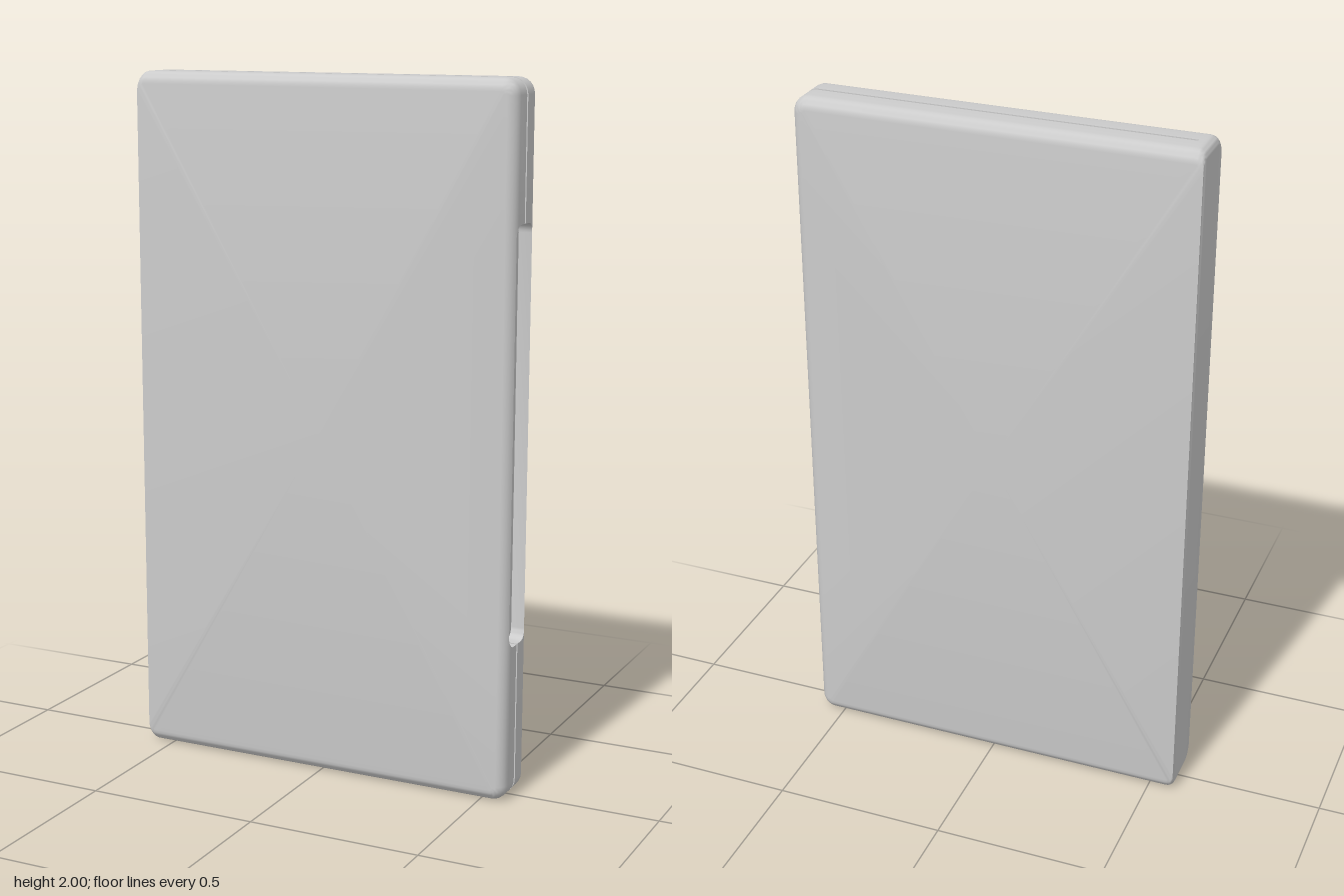
import * as THREE from 'three';
import { toCreasedNormals } from 'three/addons/utils/BufferGeometryUtils.js';

const HALF_W = 0.575, H = 2, HALF_D = 0.082;
const BEVEL = 0.035, CORNER = 0.045, SPINE_R = 0.025;
const SEAM = { half: 0.004, depth: 0.025 };
const GRIP = { y0: 0.445, y1: 1.615, half: 0.057, r: 0.03, depth: 0.04 };
const ARC = 6;

// How far the rounded edge pulls in at depth z
function bevelInset(z) {
  const t = Math.max(0, z - (HALF_D - BEVEL));
  return BEVEL - Math.sqrt(Math.max(0, BEVEL * BEVEL - t * t));
}

// Section from back to front as [z, inset]: a channel in the middle, then rounded edges
function section(half, depth) {
  const side = [[half, depth]];
  for (let i = 0; i <= ARC; i++) {
    const arcZ = HALF_D - BEVEL + BEVEL * Math.sin((i / ARC) * Math.PI / 2);
    const z = i === 0 ? half : Math.max(half, arcZ);
    side.push([z, bevelInset(z)]);
    if (i === 0) side.push([Math.max(half, arcZ), bevelInset(Math.max(half, arcZ))]);
  }
  return [...side.map(([z, d]) => [-z, d]).reverse(), ...side];
}

// Stations around the outline, counter-clockwise from the lower spine corner
function outline() {
  const stations = [];
  const add = (at, half = SEAM.half, depth = SEAM.depth) =>
    stations.push({ at, profile: section(half, depth) });

  const spineCorner = (a, top) => add((d) => {
    const y = d + SPINE_R * (1 - Math.sin(a));
    return [-HALF_W + SPINE_R * (1 - Math.cos(a)), top ? H - y : y];
  }, SEAM.half, 0);
  const seamEnd = (top, depth) =>
    add((d) => [-HALF_W + 0.04, top ? H - d : d], SEAM.half, depth);
  const outerCorner = (a, cy) => add((d) => [
    HALF_W - CORNER + (CORNER - d) * Math.cos(a),
    cy + (CORNER - d) * Math.sin(a),
  ]);
  const edge = (y, half, depth) => add((d) => [HALF_W - d, y], half, depth);

  for (let i = 0; i <= ARC; i++) spineCorner((i / ARC) * Math.PI / 2, false);
  seamEnd(false, 0);
  seamEnd(false, SEAM.depth);
  for (let i = 0; i <= ARC; i++) outerCorner(-Math.PI / 2 + (i / ARC) * Math.PI / 2, CORNER);

  // Finger recess with rounded ends
  edge(GRIP.y0);
  for (const [y, dir] of [[GRIP.y0, 1], [GRIP.y1, -1]]) {
    for (let i = 0; i <= ARC; i++) {
      const a = ((dir > 0 ? i : ARC - i) / ARC) * Math.PI / 2;
      edge(y + dir * GRIP.r * (1 - Math.cos(a)),
        GRIP.half - GRIP.r + GRIP.r * Math.sin(a), GRIP.depth);
    }
  }
  edge(GRIP.y1);

  for (let i = 0; i <= ARC; i++) outerCorner((i / ARC) * Math.PI / 2, H - CORNER);
  seamEnd(true, SEAM.depth);
  seamEnd(true, 0);
  for (let i = ARC; i >= 0; i--) spineCorner((i / ARC) * Math.PI / 2, true);
  return stations;
}

function caseGeometry() {
  const stations = outline();
  const n = stations.length, m = stations[0].profile.length;
  const pos = [], index = [];
  for (const s of stations) {
    for (const [z, d] of s.profile) pos.push(...s.at(d), z);
  }
  pos.push(0, H / 2, -HALF_D, 0, H / 2, HALF_D);

  // Leave out triangles without area
  const point = (i) => new THREE.Vector3().fromArray(pos, i * 3);
  const tri = (a, b, c) => {
    if (new THREE.Triangle(point(a), point(b), point(c)).getArea() > 1e-9) index.push(a, b, c);
  };
  for (let i = 0; i < n; i++) {
    const p = i * m, q = ((i + 1) % n) * m;
    for (let j = 0; j < m - 1; j++) {
      tri(p + j, q + j, q + j + 1);
      tri(p + j, q + j + 1, p + j + 1);
    }
    // Back and front covers
    tri(n * m, q, p);
    tri(n * m + 1, p + m - 1, q + m - 1);
  }
  const geo = new THREE.BufferGeometry();
  geo.setAttribute('position', new THREE.Float32BufferAttribute(pos, 3));
  geo.setIndex(index);
  return toCreasedNormals(geo, 0.6);
}

export function createModel() {
  const model = new THREE.Group();
  model.name = 'slimCase';
  const body = new THREE.Mesh(caseGeometry(), new THREE.MeshStandardMaterial({ color: 0xcccccc }));
  body.name = 'caseBody';
  model.add(body);
  return model;
}
